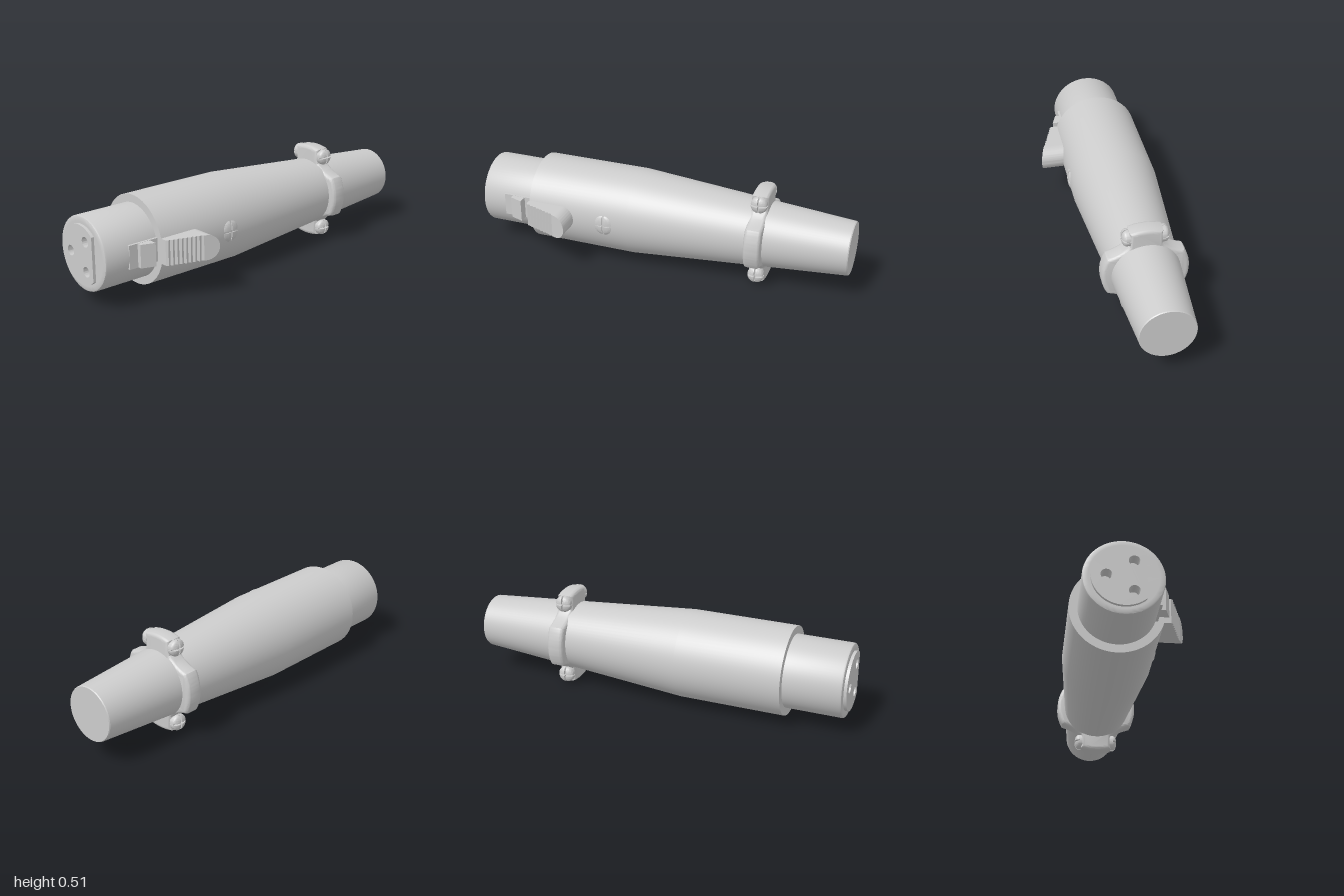
import * as THREE from 'three';
import { toCreasedNormals, mergeGeometries } from 'three/addons/utils/BufferGeometryUtils.js';

const grey = new THREE.MeshStandardMaterial({ color: 0xcccccc });
const greyDouble = new THREE.MeshStandardMaterial({ color: 0xcccccc, side: THREE.DoubleSide });

function part(name, geometry, parent, crease = 0.5) {
  const mesh = new THREE.Mesh(toCreasedNormals(geometry, crease), grey);
  mesh.name = name;
  parent.add(mesh);
  return mesh;
}

// Turned part along x, from [x, radius] pairs with x rising along the outside
function turned(profile) {
  const g = new THREE.LatheGeometry(profile.map(([x, r]) => new THREE.Vector2(r, x)), 72);
  return g.rotateZ(-Math.PI / 2);
}

// Extrude along x; the shape's horizontal axis becomes -z
function alongX(shape, x0, x1, options = {}) {
  const g = new THREE.ExtrudeGeometry(shape, { depth: x1 - x0, bevelEnabled: false, curveSegments: 40, ...options });
  return g.translate(0, 0, x0).rotateY(Math.PI / 2);
}

// Extrude a side profile (x, z) across the width in y
function acrossY(points, width) {
  const shape = new THREE.Shape(points.map(([x, z]) => new THREE.Vector2(x, z)));
  const g = new THREE.ExtrudeGeometry(shape, { depth: width, bevelEnabled: false });
  return g.rotateX(Math.PI / 2).translate(0, width / 2, 0);
}

// Domed screw head with a cross slot, facing +z
function crossScrew(name, r, h, slot) {
  const screw = new THREE.Group();
  screw.name = name;
  const floor = part('slotFloor', new THREE.CylinderGeometry(r * 0.94, r * 0.94, h * 0.5, 32), screw);
  floor.geometry.translate(0, h * 0.25, 0).rotateX(Math.PI / 2);
  const R = r - slot;
  const profile = [new THREE.Vector2(R, 0)];
  for (let i = 0; i <= 8; i++) {
    const a = (i / 8) * Math.PI / 2;
    profile.push(new THREE.Vector2(i === 8 ? 0 : R * Math.cos(a), h * (0.45 + 0.55 * Math.sin(a))));
  }
  const wall = new THREE.Shape([new THREE.Vector2(0, 0), ...profile]);
  for (let q = 0; q < 4; q++) {
    const g = mergeGeometries([
      new THREE.LatheGeometry(profile, 10, 0, Math.PI / 2),
      new THREE.ShapeGeometry(wall),
      new THREE.ShapeGeometry(wall).rotateY(-Math.PI / 2),
    ]);
    g.translate(slot, 0, slot).rotateY(q * Math.PI / 2).rotateX(Math.PI / 2);
    part('headQuarter', g, screw).material = greyDouble;
  }
  return screw;
}

function addPinHoles(shape) {
  for (const [u, v] of [[-0.045, 0.075], [-0.045, -0.075], [0.08, 0]]) {
    shape.holes.push(new THREE.Path().absarc(u, v, 0.026, 0, Math.PI * 2, true));
  }
  return shape;
}

export function createModel() {
  const model = new THREE.Group();
  model.name = 'cableConnector';
  const axis = new THREE.Group();
  axis.name = 'connectorAssembly';
  axis.position.set(0, 0.258, -0.061);
  model.add(axis);

  // Outer shell and its tapering cable sleeve
  part('shell', turned([[-0.69, 0], [-0.69, 0.228], [-0.14, 0.228], [0.53, 0.175],
    [0.995, 0.139], [1, 0.136], [1, 0]]), axis, 0.3);

  // Socket barrel with a shallow bore closed by the face plates
  part('socketBarrel', turned([[-0.93, 0], [-0.93, 0.16], [-0.985, 0.16], [-0.985, 0.178],
    [-0.982, 0.184], [-0.975, 0.187], [-0.68, 0.187]]), axis);
  const disc = new THREE.Shape().absarc(0, 0, 0.161, 0, Math.PI * 2);
  part('socketFace', alongX(addPinHoles(disc), -0.985, -0.935), axis);

  // Raised insert, flattened on the latch side
  const cut = Math.acos(-0.1 / 0.15);
  const insert = new THREE.Shape().absarc(0, 0, 0.15, -cut, cut);
  insert.closePath();
  part('pinInsert', alongX(addPinHoles(insert), -1, -0.984), axis);

  // Latch plate and wedge on the barrel
  const plate = new THREE.BoxGeometry(0.17, 0.12, 0.06);
  part('latchPlate', plate.translate(-0.768, 0, 0.159), axis);
  part('latchWedge', acrossY([[-0.805, 0.15], [-0.735, 0.15], [-0.735, 0.236], [-0.805, 0.211]], 0.118), axis);

  // Release button: serrated ramp with a rounded end
  const ramp = x => 0.26 + (x + 0.69) * 0.345;
  const outline = [[-0.5, 0.18], [-0.5, ramp(-0.5)]];
  const teeth = 9, step = 0.19 / teeth;
  for (let i = teeth - 1; i >= 0; i--) {
    const x = -0.69 + i * step;
    outline.push([x + step * 0.4, ramp(x + step * 0.4)], [x, ramp(x) - 0.008]);
  }
  outline.push([-0.69, 0.18]);
  part('releaseButton', acrossY(outline, 0.128), axis, 0.2);
  const half = new THREE.Shape().absarc(-0.5, 0, 0.064, -Math.PI / 2, Math.PI / 2);
  half.closePath();
  const end = new THREE.ExtrudeGeometry(half, { depth: 1, bevelEnabled: false, curveSegments: 24 });
  const p = end.attributes.position;
  for (let i = 0; i < p.count; i++) p.setZ(i, p.getZ(i) > 0.5 ? ramp(p.getX(i)) : 0.18);
  part('releaseButtonEnd', end, axis);

  // Retaining screw on the shell front
  const shellScrew = crossScrew('shellScrew', 0.055, 0.032, 0.005);
  shellScrew.position.set(-0.265, 0, 0.203);
  axis.add(shellScrew);

  // Cable clamp: rounded band with lugs above and below
  const b = 0.02;
  const clamp = new THREE.Shape();
  clamp.moveTo(0.215, -0.04);
  clamp.quadraticCurveTo(0.221, 0, 0.215, 0.04);
  clamp.quadraticCurveTo(0.205, 0.085, 0.19, 0.107);
  clamp.bezierCurveTo(0.15, 0.118, 0.11, 0.135, 0.082, 0.168);
  clamp.lineTo(0.082, 0.245);
  clamp.quadraticCurveTo(0, 0.269, -0.082, 0.245);
  clamp.lineTo(-0.082, 0.168);
  clamp.bezierCurveTo(-0.11, 0.135, -0.15, 0.118, -0.19, 0.107);
  clamp.quadraticCurveTo(-0.205, 0.085, -0.215, 0.04);
  clamp.quadraticCurveTo(-0.221, 0, -0.215, -0.04);
  clamp.quadraticCurveTo(-0.205, -0.085, -0.19, -0.107);
  clamp.bezierCurveTo(-0.15, -0.118, -0.11, -0.135, -0.082, -0.168);
  clamp.lineTo(-0.082, -0.245);
  clamp.quadraticCurveTo(0, -0.269, 0.082, -0.245);
  clamp.lineTo(0.082, -0.168);
  clamp.bezierCurveTo(0.11, -0.135, 0.15, -0.118, 0.19, -0.107);
  clamp.quadraticCurveTo(0.205, -0.085, 0.215, -0.04);
  part('cableClamp', alongX(clamp, 0.484 + b, 0.572 - b, {
    bevelEnabled: true, bevelSize: b, bevelOffset: -b, bevelThickness: b, bevelSegments: 5, curveSegments: 10,
  }), axis, 0.6);

  // Clamp screws, front and back of each lug
  for (const sy of [1, -1]) {
    for (const sz of [1, -1]) {
      const screw = crossScrew('clampScrew', 0.042, 0.041, 0.004);
      screw.position.set(0.528, sy * 0.203, sz * 0.076);
      if (sz < 0) screw.rotation.y = Math.PI;
      axis.add(screw);
    }
  }
  return model;
}
